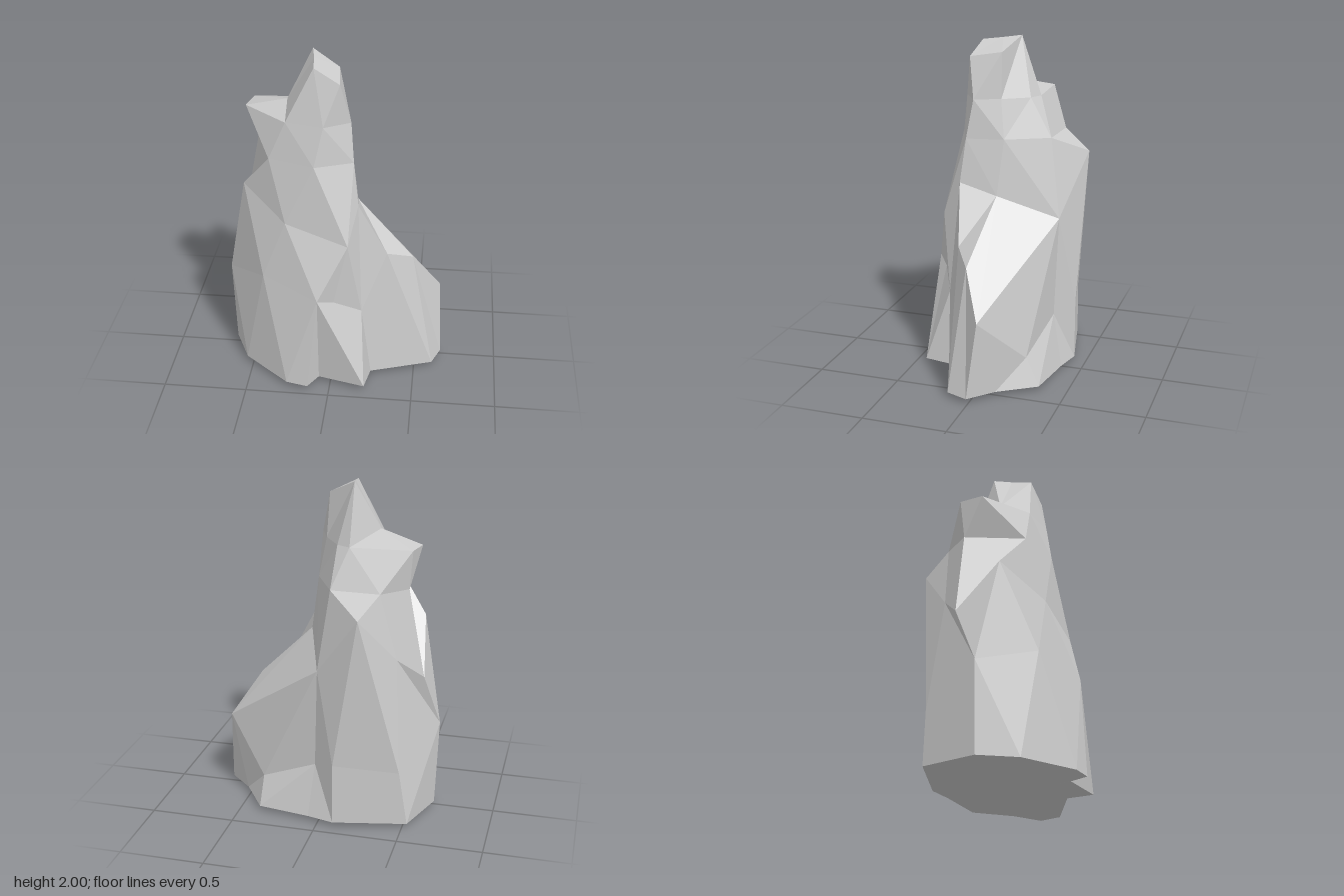
import * as THREE from 'three';

// A level cross-section from [x, z] corners
const level = (y, corners) => corners.map(([x, z]) => [x, y, z]);

// Cross-sections from the base up, each running right -> front -> left -> back
const foot = level(.03, [[.66, .01], [.61, .14], [.24, .27], [.21, .43], [-.07, .36], [-.13, .465], [-.26, .435],
  [-.54, .2], [-.64, -.02], [-.53, -.34], [-.1, -.43], [.06, -.39], [.375, -.34], [.52, -.12]]);
const buttress = [[.64, .49, -.05], [.47, .75, .07], [.32, .82, .17], [.18, .48, .28], [.02, .58, .36], [-.07, .62, .43],
  [-.41, .68, .27], [-.66, .56, -.02], [-.48, .36, -.35], [-.1, .4, -.43], [.03, .35, -.33], [.37, .2, -.26]];
const waist = [[.13, 1.09, 0], [.15, 1.16, .22], [.1, .95, .34], [-.27, 1.05, .28], [-.54, 1.2, .08],
  [-.58, .9, -.16], [-.44, 1.03, -.27], [-.25, 1.31, -.46], [.01, .95, -.35]];
const neck = level(1.42, [[.08, -.03], [.12, .19], [-.1, .28], [-.37, .19], [-.48, -.15], [-.34, -.29], [-.05, -.28]]);
const shoulder = level(1.65, [[.04, 0], [.1, .15], [-.05, .24], [-.27, .19], [-.53, -.03], [-.5, -.17],
  [-.14, -.19], [-.06, -.15]]);
const peak = [[.02, 1.92, 0], [.04, 1.89, .19], [-.11, 1.97, .16], [-.28, 1.72, .01], [-.14, 2, -.07]];

// Rising angles of a loop about a vertical axis, with the first point repeated at the end
function anglesAbout(loop, cx) {
  const out = [];
  for (const [x, , z] of loop) {
    let a = Math.atan2(z, x - cx);
    while (out.length && a < out[out.length - 1]) a += Math.PI * 2;
    out.push(a);
  }
  out.push(out[0] + Math.PI * 2);
  return out;
}

// Joins two loops of different counts, always stepping to the nearer angle
function band(lower, upper, cx) {
  const la = anglesAbout(lower, cx), ua = anglesAbout(upper, cx);
  const low = (k) => lower[k % lower.length], up = (k) => upper[k % upper.length];
  const tris = [];
  let i = 0, j = 0;
  while (i < lower.length || j < upper.length) {
    const stepLower = j === upper.length || (i < lower.length && la[i + 1] <= ua[j + 1]);
    tris.push(low(i), up(j), stepLower ? low(++i) : up(++j));
  }
  return tris;
}

// Closes a loop with a fan
function cap(loop, apex, top) {
  return loop.flatMap((p, k) => {
    const q = loop[(k + 1) % loop.length];
    return top ? [apex, q, p] : [apex, p, q];
  });
}

export function createModel() {
  const corners = [
    ...cap(foot, [0, 0, 0], false),
    ...band(foot, buttress, 0),
    ...band(buttress, waist, 0),
    ...band(waist, neck, -.15),
    ...band(neck, shoulder, -.15),
    ...band(shoulder, peak, -.15),
    ...cap(peak, [-.12, 1.985, .04], true),
  ];
  const geometry = new THREE.BufferGeometry();
  geometry.setAttribute('position', new THREE.Float32BufferAttribute(corners.flat(), 3));
  geometry.computeVertexNormals();

  const rock = new THREE.Mesh(geometry, new THREE.MeshStandardMaterial({ color: 0xcccccc, flatShading: true }));
  rock.name = 'rock';
  const group = new THREE.Group();
  group.name = 'rockSpire';
  group.add(rock);
  return group;
}
